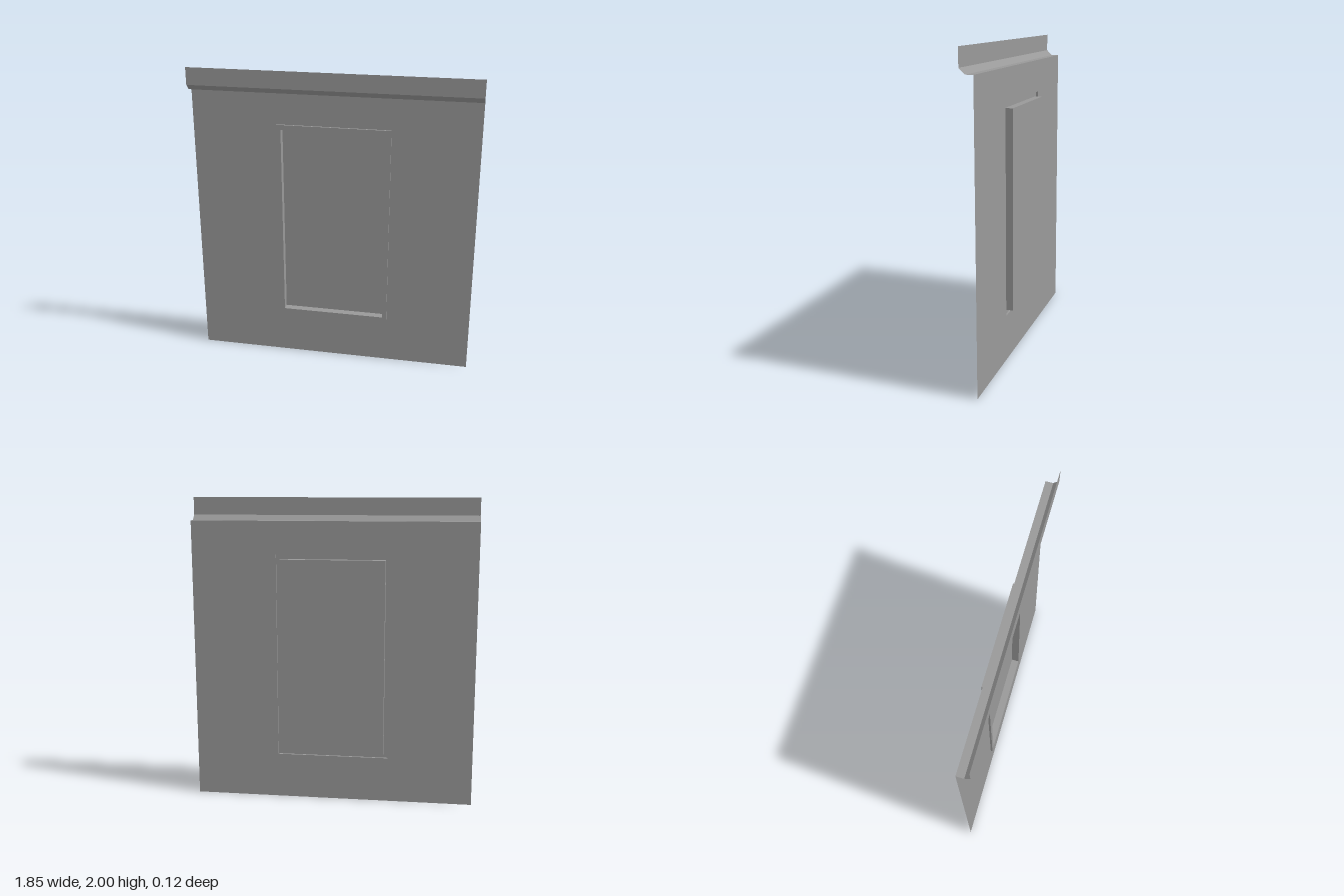
import * as THREE from 'three';

const HALF = 0.925;                        // half width of the wall
const WALL_Z = -0.023, FRAME_Z = -0.01, PANEL_Z = -0.06, TOP_Z = 0.06;
const frameRect = { hx: 0.368, y0: 0.298, y1: 1.641 };
const panelRect = { hx: 0.341, y0: 0.328, y1: 1.61 };

export function createModel() {
  const group = new THREE.Group();
  const grey = new THREE.MeshStandardMaterial({ color: 0x999999, side: THREE.DoubleSide });
  grey.name = 'plain grey';

  const add = (name, geometry) => {
    const mesh = new THREE.Mesh(geometry, grey);
    mesh.name = name;
    group.add(mesh);
  };

  const corners = ({ hx, y0, y1 }) => [[-hx, y0], [hx, y0], [hx, y1], [-hx, y1]];

  // flat sheet facing +z, optionally with a rectangular opening
  const sheet = (rect, z, opening) => {
    const toPoints = (r) => corners(r).map(([x, y]) => new THREE.Vector2(x, y));
    const shape = new THREE.Shape(toPoints(rect));
    if (opening) shape.holes.push(new THREE.Path(toPoints(opening).reverse()));
    return new THREE.ShapeGeometry(shape).translate(0, 0, z);
  };

  // quads given as four corners each, flat shaded
  const quads = (list) => {
    const positions = [];
    for (const [a, b, c, d] of list) positions.push(...a, ...b, ...c, ...a, ...c, ...d);
    const geometry = new THREE.BufferGeometry();
    geometry.setAttribute('position', new THREE.Float32BufferAttribute(positions, 3));
    geometry.computeVertexNormals();
    return geometry;
  };

  // four sides joining a rectangle at zFront to the same one at zBack
  const sleeve = (rect, zFront, zBack, inward) => {
    const c = corners(rect);
    return quads(c.map((p, i) => {
      const q = c[(i + 1) % 4];
      const quad = [[...p, zBack], [...q, zBack], [...q, zFront], [...p, zFront]];
      return inward ? quad.reverse() : quad;
    }));
  };

  // wall sheet with the doorway cut out
  const wallTop = 1.853;
  add('wall', sheet({ hx: HALF, y0: 0, y1: wallTop }, WALL_Z, frameRect));

  // raised border around the recess
  add('frameFace', sheet(frameRect, FRAME_Z, panelRect));
  add('frameEdges', sleeve(frameRect, FRAME_Z, WALL_Z, false));

  // recess and its sunken panel
  add('recessSides', sleeve(panelRect, FRAME_Z, PANEL_Z, true));
  add('recessPanel', sheet(panelRect, PANEL_Z));

  // folded overhang along the top: flat ledge, slope, upright band
  const profile = [[wallTop, WALL_Z], [wallTop, 0.025], [1.888, TOP_Z], [2, TOP_Z]];
  const names = ['ledge', 'slope', 'topBand'];
  names.forEach((name, i) => {
    const [ya, za] = profile[i], [yb, zb] = profile[i + 1];
    add(name, quads([[[-HALF, ya, za], [HALF, ya, za], [HALF, yb, zb], [-HALF, yb, zb]]]));
  });

  return group;
}
